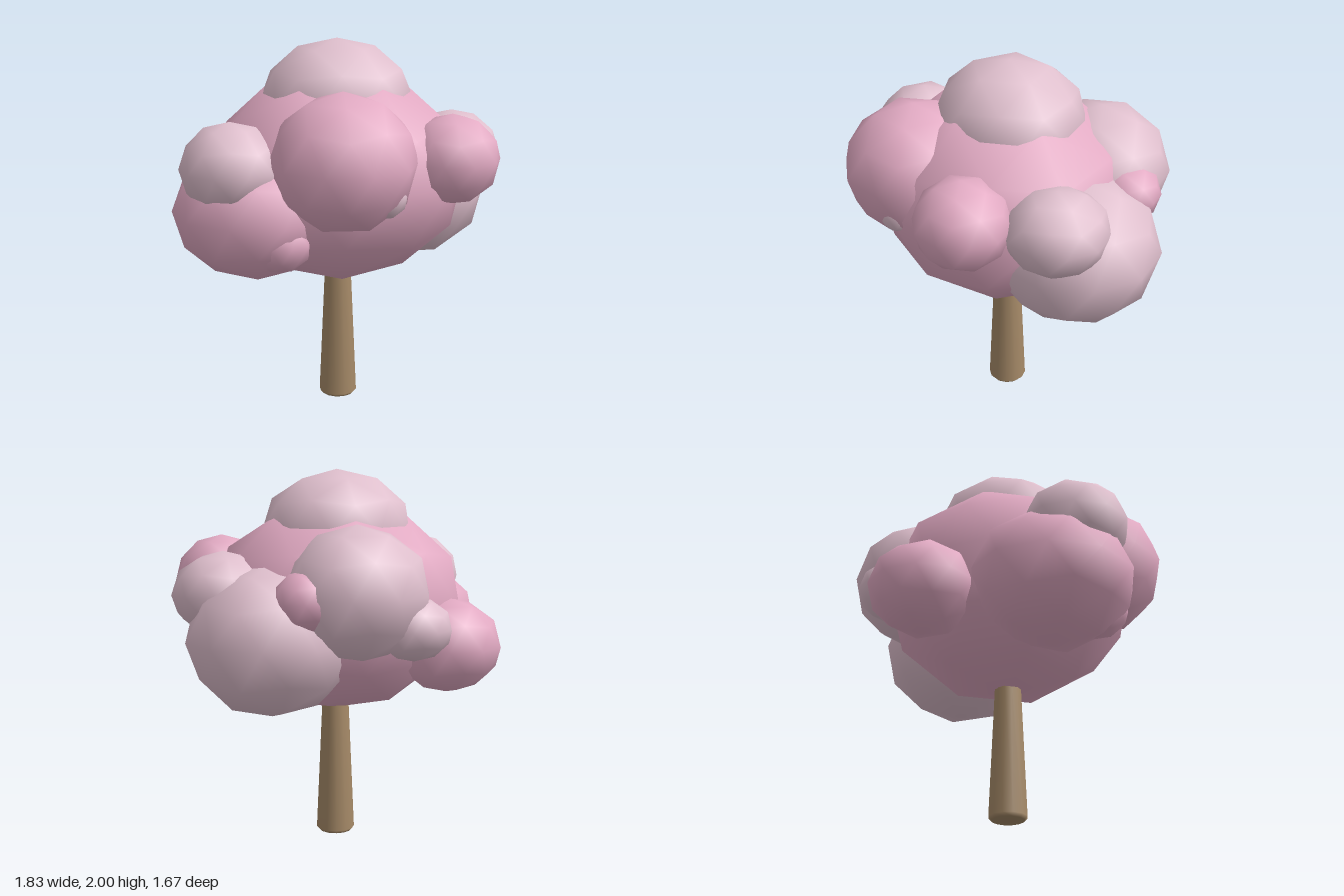
import * as THREE from 'three';

export function createModel() {
  const tree = new THREE.Group();
  tree.name = 'blossomTree';

  const material = (name, color) => {
    const m = new THREE.MeshStandardMaterial({ color });
    m.name = name;
    return m;
  };
  const pink = material('pinkBlossom', 0xe3abc4);
  const pale = material('paleBlossom', 0xe0c0ce);
  const bark = material('bark', 0xa68a68);

  // Trunk: tapered, with a small bevel at the foot
  const profile = [[0, 0], [0.088, 0], [0.104, 0.018], [0.072, 0.74], [0.06, 1.0]]
    .map(([x, y]) => new THREE.Vector2(x, y));
  const trunk = new THREE.Mesh(new THREE.LatheGeometry(profile, 12), bark);
  trunk.name = 'trunk';
  trunk.position.x = 0.004;
  tree.add(trunk);

  // Low-poly ball with smooth normals and a vertex at each pole
  const ball = new THREE.IcosahedronGeometry(1, 1);
  ball.rotateZ(Math.atan2(1, (1 + Math.sqrt(5)) / 2));
  const half = Math.PI / 5; // turns the ball by half a facet

  // Crown clumps: name, material, centre, radii, yaw
  const clumps = [
    ['crownCore', pink, [0, 1.275, 0], [0.7, 0.575, 0.685], half],
    ['topClump', pale, [0.005, 1.67, -0.015], [0.415, 0.33, 0.4], half],
    ['frontClump', pink, [-0.155, 1.43, 0.455], [0.38, 0.36, 0.38], 0],
    ['frontLeftClump', pink, [0.45, 1.405, 0.465], [0.255, 0.237, 0.25], 0],
    ['leftLowerClump', pale, [0.495, 1.135, -0.15], [0.445, 0.4, 0.44], 0],
    ['leftUpperClump', pale, [0.66, 1.365, 0.055], [0.27, 0.222, 0.27], half],
    ['rightLowerClump', pink, [-0.5, 1.14, 0.1], [0.435, 0.36, 0.445], half],
    ['rightUpperClump', pale, [-0.66, 1.39, 0.19], [0.26, 0.24, 0.28], half],
    ['rightFrontBud', pink, [-0.46, 1.03, 0.35], [0.17, 0.16, 0.18], 0],
    ['backClump', pale, [0.18, 1.38, -0.465], [0.385, 0.35, 0.365], 0],
    ['backRightClump', pink, [-0.34, 1.09, -0.54], [0.285, 0.25, 0.29], 0],
    ['backBud', pale, [-0.04, 1.21, -0.65], [0.2, 0.165, 0.19], 0],
    ['backLeftBud', pink, [0.465, 1.36, -0.46], [0.182, 0.16, 0.178], 0],
    ['frontBud', pale, [0, 1.285, 0.61], [0.12, 0.12, 0.12], 0],
  ];
  const crown = new THREE.Group();
  crown.name = 'crown';
  for (const [name, mat, centre, radii, yaw] of clumps) {
    const geometry = ball.clone().rotateY(yaw).scale(...radii);
    const clump = new THREE.Mesh(geometry, mat);
    clump.name = name;
    clump.position.set(...centre);
    crown.add(clump);
  }
  tree.add(crown);

  return tree;
}
